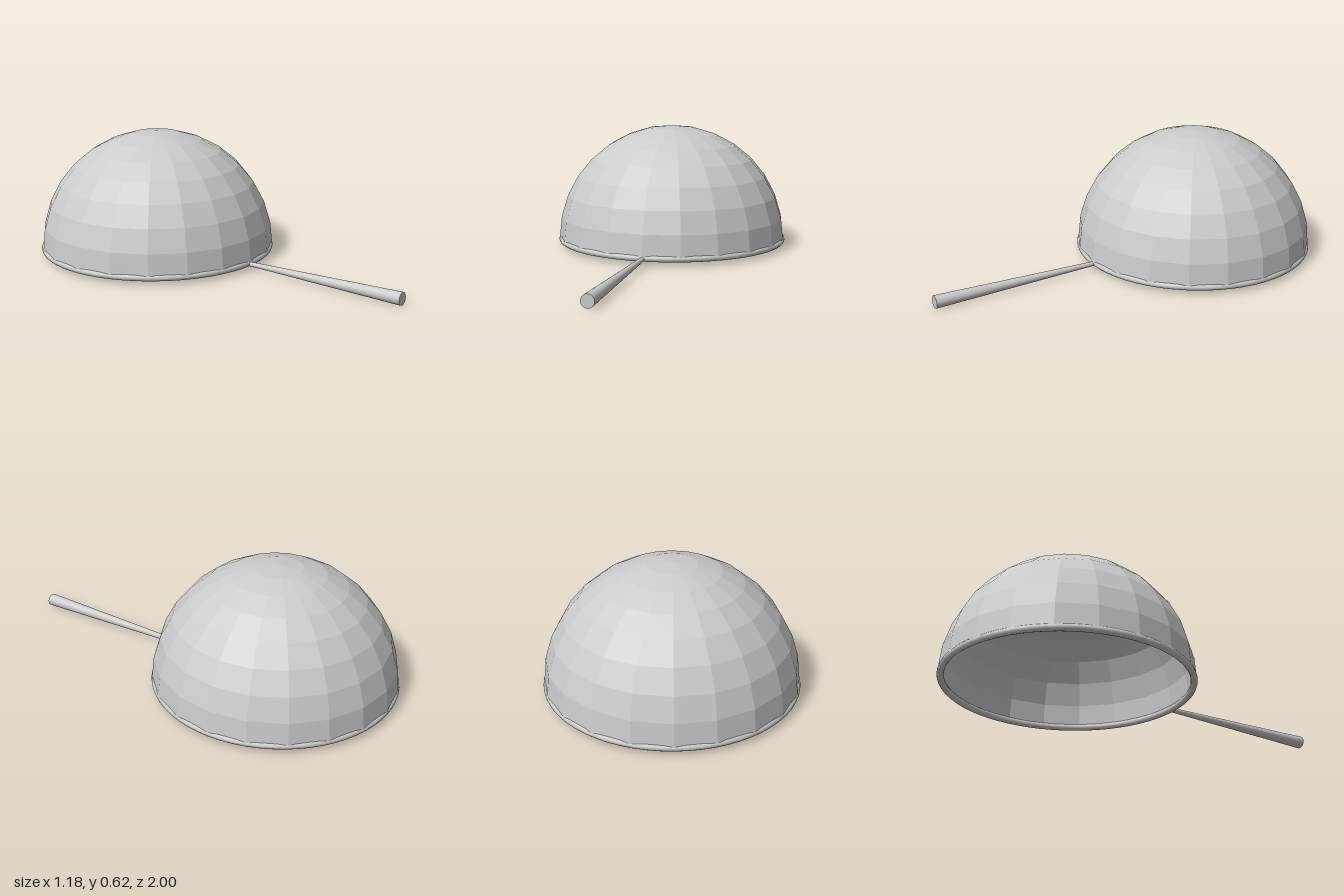
import * as THREE from 'three';

const CENTER_Z = -0.408;
const BASE_Y = 0.034;

export function createModel() {
  const model = new THREE.Group();
  model.name = 'domeWithHandle';
  const smooth = new THREE.MeshStandardMaterial({ color: 0xcccccc });
  const faceted = new THREE.MeshStandardMaterial({
    color: 0xcccccc, flatShading: true, side: THREE.DoubleSide,
  });

  const add = (name, geometry, material, y, z) => {
    const mesh = new THREE.Mesh(geometry, material);
    mesh.name = name;
    mesh.position.set(0, y, z);
    model.add(mesh);
    return mesh;
  };

  // Thin-walled faceted half sphere: each wall is a quarter arc in 8 steps
  const arc = (radius) => Array.from({ length: 9 }, (_, i) => {
    const a = (i / 8) * Math.PI / 2;
    return new THREE.Vector2(i === 8 ? 0 : radius * Math.cos(a), radius * Math.sin(a));
  });
  const outer = arc(0.59);
  const inner = arc(0.577).reverse();
  add('bowlShell', new THREE.LatheGeometry([...outer, ...inner, outer[0].clone()], 20),
    faceted, BASE_Y, CENTER_Z);

  // Rounded rim around the opening
  const rim = add('rim', new THREE.TorusGeometry(0.576, 0.016, 12, 64), smooth, BASE_Y + 0.001, CENTER_Z);
  rim.rotation.x = Math.PI / 2;

  // Handle, widening away from the rim
  const start = 0.17, end = 1;
  const handle = add('handle', new THREE.CylinderGeometry(0.031, 0.011, end - start, 32),
    smooth, BASE_Y - 0.002, (start + end) / 2);
  handle.rotation.x = Math.PI / 2;

  return model;
}
